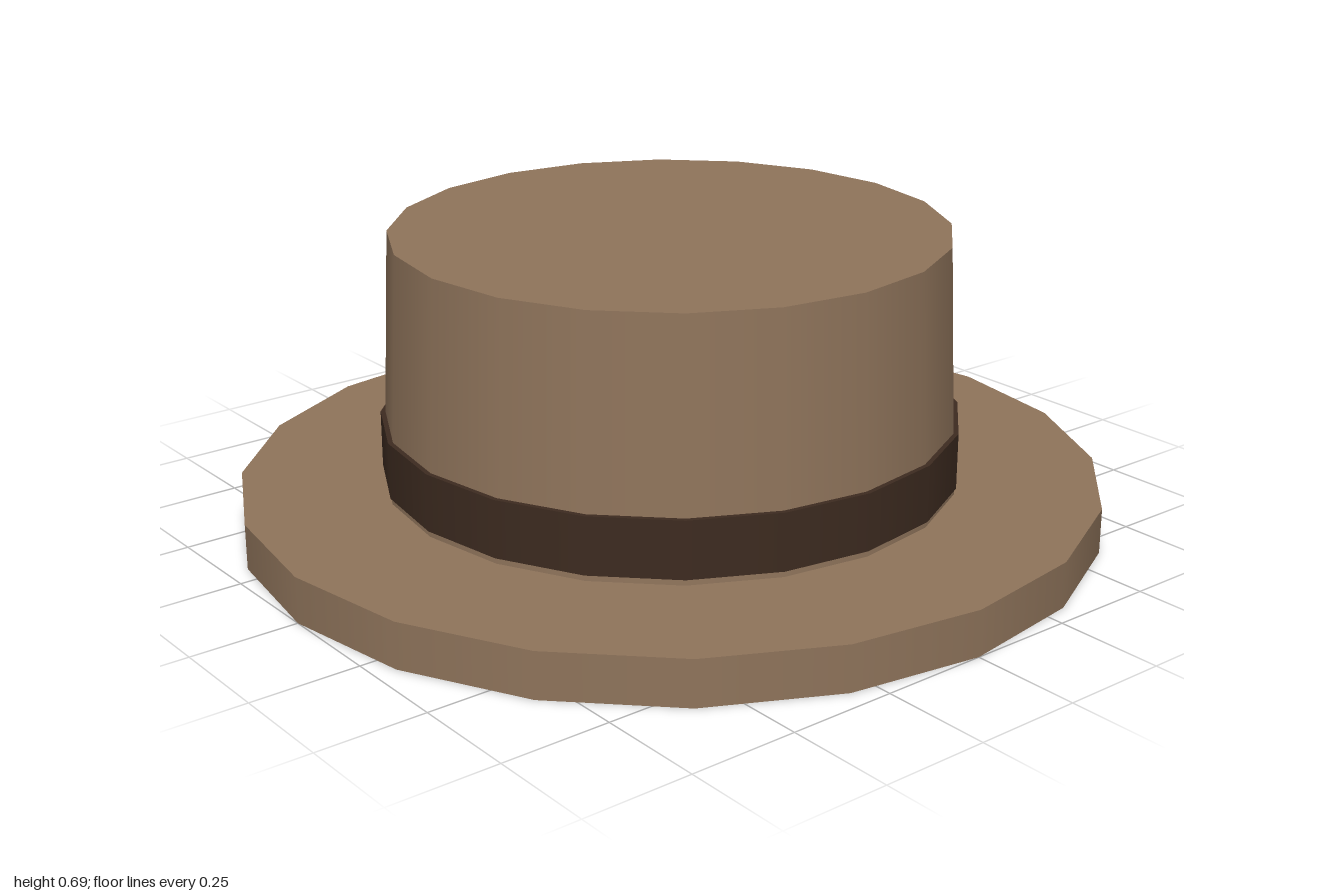
import * as THREE from 'three';

const SIDES = 20;

export function createModel() {
  const felt = new THREE.MeshStandardMaterial({ name: 'brown felt', color: 0x8f745b });
  const ribbon = new THREE.MeshStandardMaterial({ name: 'dark ribbon', color: 0x3d2b20 });
  const hat = new THREE.Group();
  hat.name = 'hat';

  // Each part is a smooth-sided, capped drum between two heights
  const drum = (name, material, topRadius, bottomRadius, y0, y1) => {
    const geometry = new THREE.CylinderGeometry(topRadius, bottomRadius, y1 - y0, SIDES);
    const mesh = new THREE.Mesh(geometry, material);
    mesh.name = name;
    mesh.position.y = (y0 + y1) / 2;
    hat.add(mesh);
  };

  drum('brim', felt, 1, 1, 0, 0.106);
  drum('crown', felt, 0.64, 0.668, 0.1, 0.686);
  drum('hatBand', ribbon, 0.672, 0.672, 0.12, 0.253);

  return hat;
}
